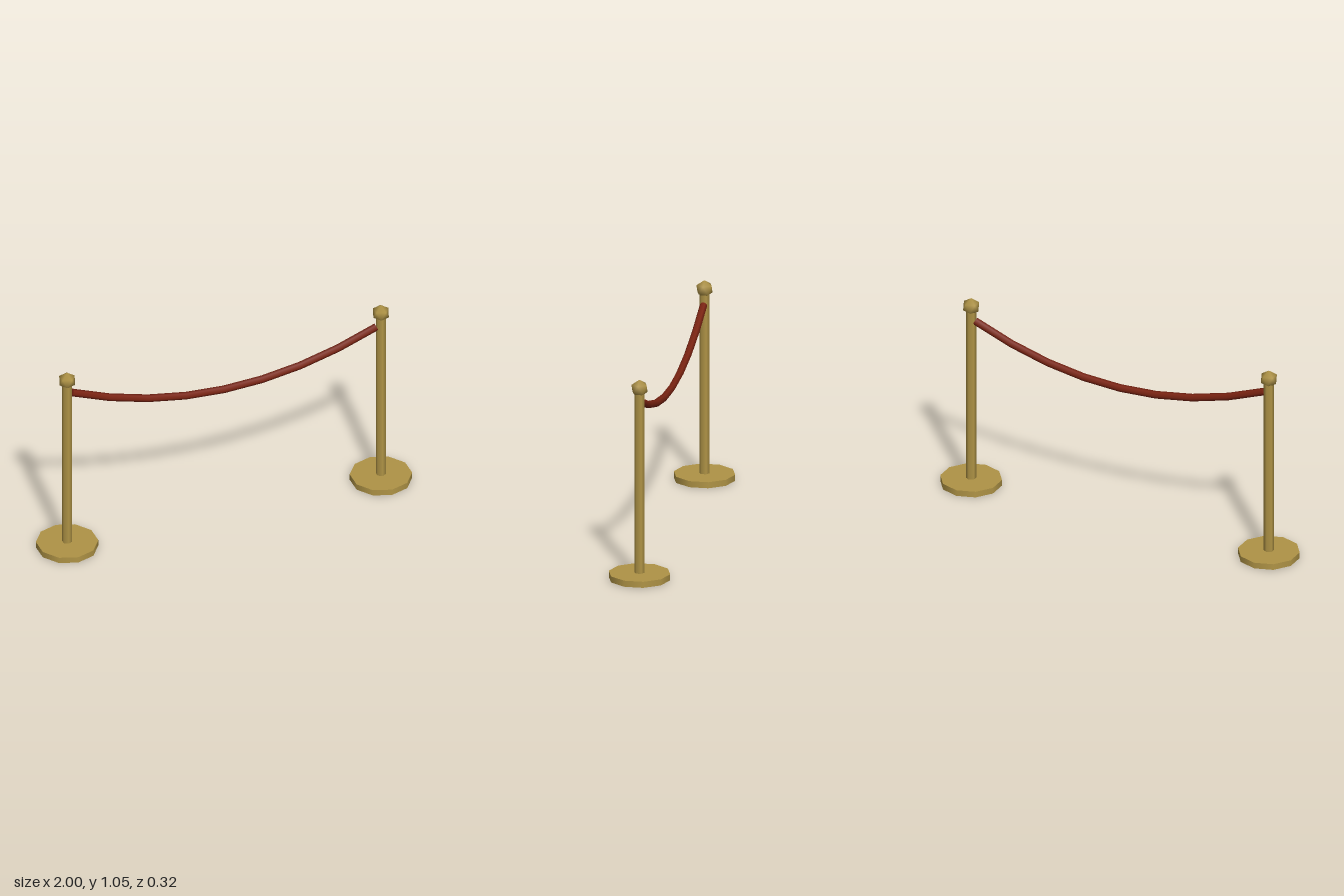
import * as THREE from 'three';
import { mergeVertices } from 'three/addons/utils/BufferGeometryUtils.js';

const brass = new THREE.MeshStandardMaterial({ name: 'brass', color: 0xb09446 });
const velvet = new THREE.MeshStandardMaterial({ name: 'redVelvet', color: 0x7c2412 });

function add(parent, name, geometry, material, x = 0, y = 0, z = 0) {
  const mesh = new THREE.Mesh(geometry, material);
  mesh.name = name;
  mesh.position.set(x, y, z);
  parent.add(mesh);
  return mesh;
}

// Smooth-shaded icosahedron standing on one corner
function finialGeometry(radius) {
  let g = new THREE.IcosahedronGeometry(radius, 0);
  g.deleteAttribute('normal');
  g.deleteAttribute('uv');
  g = mergeVertices(g, 1e-4);
  g.rotateZ(-Math.atan(2 / (1 + Math.sqrt(5))));
  g.computeVertexNormals();
  return g;
}

function createPost(name, x) {
  const post = new THREE.Group();
  post.name = name;
  post.position.x = x;
  add(post, 'base', new THREE.CylinderGeometry(0.158, 0.158, 0.032, 10), brass, 0, 0.016);
  add(post, 'pole', new THREE.CylinderGeometry(0.026, 0.026, 0.955, 6), brass, 0, 0.5075);
  add(post, 'finial', finialGeometry(0.046), brass, 0, 1.007);
  return post;
}

// Sagging rope of eight equal spans with closed ends
function createRope() {
  const rope = new THREE.Group();
  rope.name = 'rope';
  const endX = 0.825, endY = 0.928, midY = 0.748, radius = 0.0195;
  const curve = new THREE.QuadraticBezierCurve3(
    new THREE.Vector3(-endX, endY, 0),
    new THREE.Vector3(0, 2 * midY - endY, 0),
    new THREE.Vector3(endX, endY, 0)
  );
  // Space the joints evenly along x
  curve.getPointAt = (t, target) => curve.getPoint(t, target);
  curve.getTangentAt = (t, target) => curve.getTangent(t, target);
  add(rope, 'ropeBody', new THREE.TubeGeometry(curve, 8, radius, 6, false), velvet);

  for (const [t, side] of [[0, -1], [1, 1]]) {
    const p = curve.getPoint(t);
    const cap = add(rope, side > 0 ? 'leftRopeEnd' : 'rightRopeEnd',
      new THREE.CircleGeometry(radius, 6), velvet, p.x, p.y, p.z);
    cap.lookAt(p.clone().addScaledVector(curve.getTangent(t), side));
  }
  return rope;
}

export function createModel() {
  const model = new THREE.Group();
  model.name = 'ropeBarrier';
  model.add(createPost('rightPost', -0.85), createPost('leftPost', 0.85), createRope());
  return model;
}
